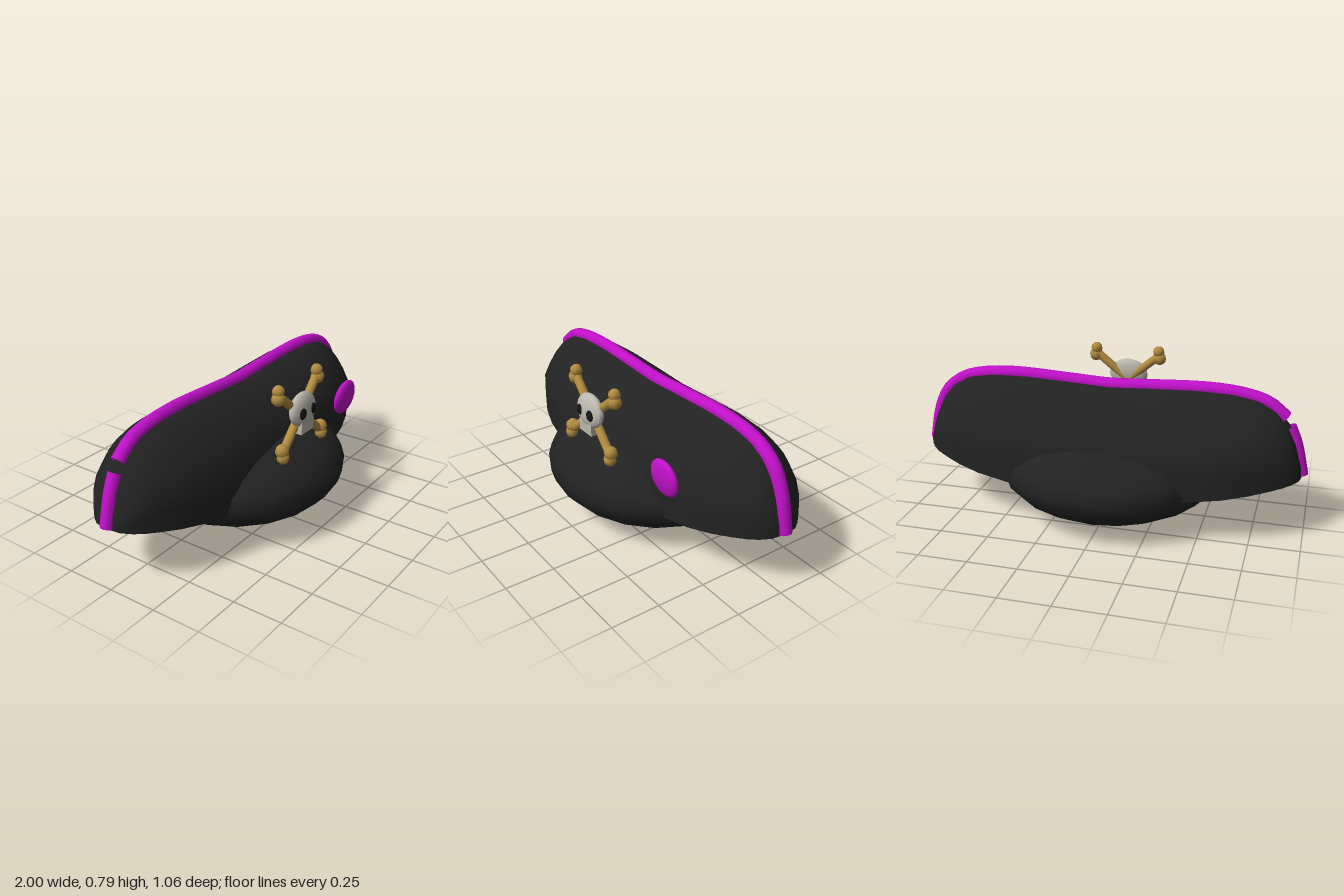
import * as THREE from 'three';

const mat = (name, color, side = THREE.FrontSide) => {
  const m = new THREE.MeshStandardMaterial({ color, side });
  m.name = name;
  return m;
};

export function createModel() {
  const felt = mat('black felt', 0x222222, THREE.DoubleSide);
  const purple = mat('purple trim', 0xc010c8, THREE.DoubleSide);
  const gold = mat('golden bone', 0xb28c40);
  const bone = mat('pale skull', 0xbab7ac);
  const dark = mat('eye black', 0x141414);

  const root = new THREE.Group();
  root.name = 'hat';
  const add = (name, geo, material, pos = [0, 0, 0], parent = root) => {
    const mesh = new THREE.Mesh(geo, material);
    mesh.name = name;
    mesh.position.set(...pos);
    parent.add(mesh);
    return mesh;
  };
  const ellipsoid = (rx, ry, rz, w = 20, h = 12) =>
    new THREE.SphereGeometry(1, w, h).scale(rx, ry, rz);
  const midZ = -0.025;

  // Rounded cap that sits on the head
  add('cap', ellipsoid(0.57, 0.245, 0.53), felt, [0, 0.247, 0]);

  // Wide folded brim, an open shell lofted across x: [x, ridge y, half depth, bottom y]
  const half = [
    [0, 0.685, 0.31, 0.225], [0.2, 0.695, 0.31, 0.226], [0.43, 0.704, 0.31, 0.228],
    [0.62, 0.7, 0.275, 0.248], [0.74, 0.68, 0.235, 0.266], [0.83, 0.63, 0.19, 0.28],
    [0.89, 0.56, 0.15, 0.287], [0.93, 0.48, 0.115, 0.293], [0.962, 0.37, 0.07, 0.298],
    [0.972, 0.31, 0.015, 0.3],
  ];
  const stations = [...half.slice(1).reverse().map(([x, ...r]) => [-x, ...r]), ...half];
  // Arch section: [fraction of depth, fraction of height]
  const side = [[1, 0], [1, 0.25], [0.985, 0.47], [0.79, 0.66], [0.565, 0.82], [0.33, 0.935], [0.13, 0.985]];
  const arch = [...side, [0, 1], ...side.slice().reverse().map(([d, h]) => [-d, h])];
  const pos = [], idx = [], n = arch.length;
  stations.forEach(([x, top, depth, bottom], i) => {
    arch.forEach(([d, h], j) => {
      pos.push(x, bottom + h * (top - bottom), midZ + d * depth);
      if (i < stations.length - 1 && j < n - 1) {
        const a = i * n + j, b = a + n;
        idx.push(a, b, a + 1, b, b + 1, a + 1);
      }
    });
  });
  const shell = new THREE.BufferGeometry();
  shell.setAttribute('position', new THREE.Float32BufferAttribute(pos, 3));
  shell.setIndex(idx);
  shell.computeVertexNormals();
  add('foldedBrim', shell, felt);

  // Piping along the ridge, with a separate short piece at the right tip
  const piping = (name, pts, segments) => {
    const curve = new THREE.CatmullRomCurve3(pts.map(([x, y]) => new THREE.Vector3(x, y, midZ)));
    add(name, new THREE.TubeGeometry(curve, segments, 0.034, 10), purple);
  };
  const ridge = [[0.2, 0.694], [0.51, 0.705], [0.68, 0.69], [0.79, 0.657], [0.875, 0.59]];
  piping('ridgePiping', [
    ...ridge.slice().reverse().map(([x, y]) => [-x, y]), [0, 0.685], ...ridge,
    [0.93, 0.48], [0.968, 0.305],
  ], 48);
  piping('tipPiping', [[-0.893, 0.548], [-0.93, 0.46], [-0.968, 0.305]], 8);

  // Round button on the front
  add('button', ellipsoid(0.097, 0.095, 0.031), purple, [0.525, 0.485, 0.308]).rotation.x = 0.1;

  // Crossed bones leaning back toward the top
  const bones = new THREE.Group();
  bones.name = 'crossedBones';
  root.add(bones);
  for (const s of [-1, 1]) {
    const low = new THREE.Vector3(-s * 0.165, 0.455, 0.366);
    const high = new THREE.Vector3(s * 0.165, 0.735, 0.338);
    const dir = high.clone().sub(low);
    const shaft = add('boneShaft', new THREE.CylinderGeometry(0.022, 0.022, dir.length(), 10), gold,
      low.clone().add(high).multiplyScalar(0.5).toArray(), bones);
    shaft.quaternion.setFromUnitVectors(new THREE.Vector3(0, 1, 0), dir.normalize());
    const knobs = [
      [s * 0.17, 0.763, 0.336, 0.031], [s * 0.175, 0.727, 0.339, 0.035],
      [-s * 0.175, 0.466, 0.367, 0.035], [-s * 0.175, 0.432, 0.373, 0.032],
    ];
    for (const [x, y, z, r] of knobs) add('boneKnob', ellipsoid(r, r, r, 8, 6), gold, [x, y, z], bones);
  }

  // Skull with jaw and eye sockets
  const skull = new THREE.Group();
  skull.name = 'skull';
  root.add(skull);
  add('cranium', ellipsoid(0.105, 0.085, 0.038, 16, 12), bone, [0, 0.622, 0.366], skull).rotation.x = -0.12;
  add('jaw', new THREE.BoxGeometry(0.105, 0.06, 0.035), bone, [0, 0.54, 0.38], skull);
  for (const s of [-1, 1]) {
    add('eye', ellipsoid(0.026, 0.029, 0.014, 12, 8), dark, [s * 0.043, 0.618, 0.396], skull);
  }
  return root;
}
